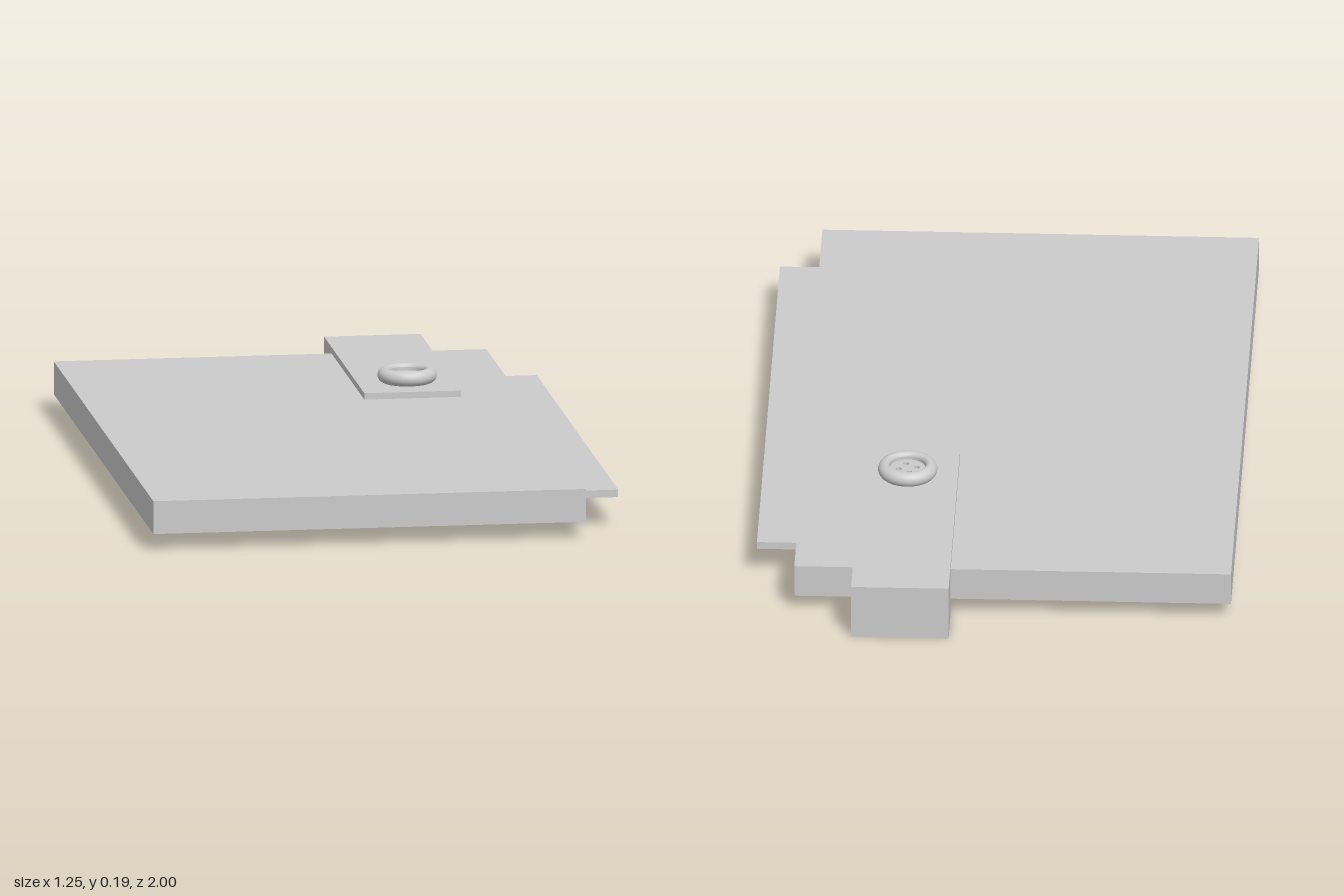
import * as THREE from 'three';

const material = new THREE.MeshStandardMaterial({ color: 0xcccccc });

function add(parent, name, geometry) {
  const mesh = new THREE.Mesh(geometry, material);
  mesh.name = name;
  parent.add(mesh);
  return mesh;
}

// Box given by its lower and upper corners
function slab(parent, name, [x0, y0, z0], [x1, y1, z1]) {
  const mesh = add(parent, name, new THREE.BoxGeometry(x1 - x0, y1 - y0, z1 - z0));
  mesh.position.set((x0 + x1) / 2, (y0 + y1) / 2, (z0 + z1) / 2);
}

function createButton() {
  const button = new THREE.Group();
  button.name = 'button';

  // Rounded rim: a closed stadium-like section turned about the y axis
  const section = new THREE.Shape();
  section.moveTo(0.047, 0);
  section.lineTo(0.058, 0);
  section.absarc(0.058, 0.02, 0.02, -Math.PI / 2, Math.PI / 2, false);
  section.quadraticCurveTo(0.05, 0.039, 0.047, 0.03);
  section.lineTo(0.047, 0);
  add(button, 'buttonRim', new THREE.LatheGeometry(section.getPoints(10), 48));

  // Recessed face with four thread holes
  const disc = new THREE.Shape().absarc(0, 0, 0.049, 0, Math.PI * 2, false);
  for (let i = 0; i < 4; i++) {
    const a = 0.2 + i * Math.PI / 2;
    const hole = new THREE.Path();
    hole.absarc(0.024 * Math.cos(a), 0.024 * Math.sin(a), 0.008, 0, Math.PI * 2, true);
    disc.holes.push(hole);
  }
  const face = new THREE.ExtrudeGeometry(disc, { depth: 0.018, bevelEnabled: false, curveSegments: 24 });
  face.rotateX(-Math.PI / 2);
  add(button, 'buttonFace', face).position.y = 0.004;
  return button;
}

export function createModel() {
  const model = new THREE.Group();
  model.name = 'boardWithClasp';

  // Main board and the thin strip along its side
  slab(model, 'board', [-0.627, 0.043, -0.86], [0.521, 0.131, 1]);
  slab(model, 'sideStrip', [0.5, 0.077, -0.668], [0.627, 0.097, 0.855]);

  // Clasp wrapped over the back edge, with its button
  slab(model, 'clasp', [0.11, 0, -1], [0.366, 0.148, -0.247]);
  const button = createButton();
  button.position.set(0.242, 0.148, -0.378);
  model.add(button);
  return model;
}
